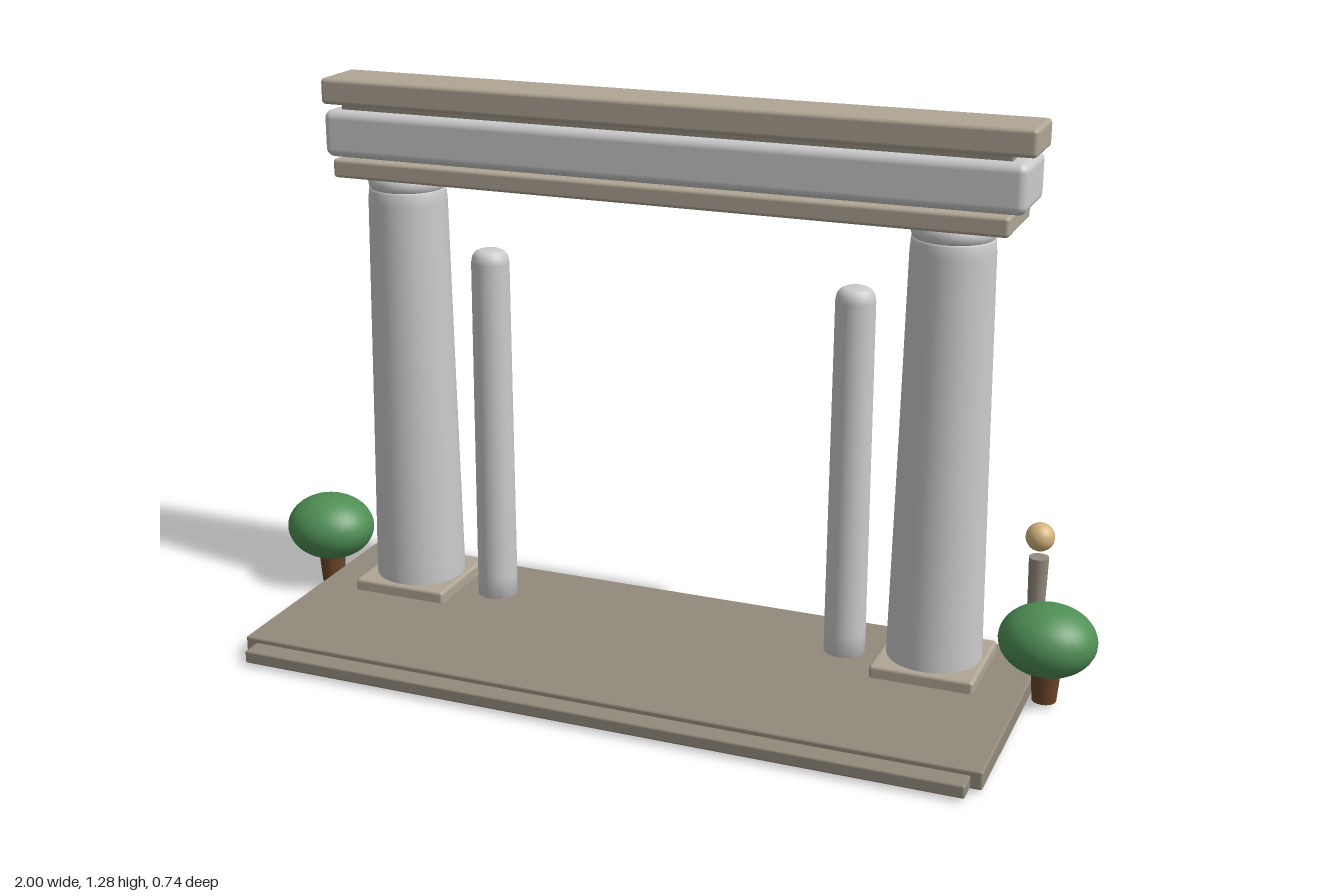
import * as THREE from 'three';
import { RoundedBoxGeometry } from 'three/addons/geometries/RoundedBoxGeometry.js';

const material = (color) => new THREE.MeshStandardMaterial({ color });
const paleStone = material(0xcccccc);
const tanStone = material(0xb0a695);
const darkStone = material(0x928a7c);
const leaf = material(0x4f8f55);
const bark = material(0x6b4528);
const glow = material(0xd2b47c);

const AXIS_Z = -0.126; // depth of the colonnade

export function createModel() {
  const model = new THREE.Group();

  function add(name, geometry, mat, x, y, z, parent = model) {
    const mesh = new THREE.Mesh(geometry, mat);
    mesh.name = name;
    mesh.position.set(x, y, z);
    parent.add(mesh);
    return mesh;
  }

  // Softened block given by its half width, height range and depth range
  function block(name, mat, halfX, y0, y1, z0, z1, bevel, x = 0, parent = model) {
    const geometry = new RoundedBoxGeometry(2 * halfX, y1 - y0, z1 - z0, 3, bevel);
    return add(name, geometry, mat, x, (y0 + y1) / 2, (z0 + z1) / 2, parent);
  }

  // Turned shape from [radius, height] pairs
  const turned = (points, sides = 40) =>
    new THREE.LatheGeometry(points.map(([r, y]) => new THREE.Vector2(r, y)), sides);

  // Floor with a front step
  block('platform', darkStone, 0.86, 0.008, 0.05, -0.287, 0.323, 0.005);
  block('frontStep', darkStone, 0.835, 0.008, 0.038, 0.2, 0.37, 0.005);

  // Stacked lintel
  block('lowerBeam', tanStone, 0.778, 1.06, 1.103, -0.229, -0.025, 0.008);
  block('frieze', paleStone, 0.807, 1.103, 1.211, -0.216, -0.037, 0.02);
  block('lintelFiller', darkStone, 0.77, 1.2, 1.23, -0.19, -0.062, 0.004);
  block('topBeam', tanStone, 0.82, 1.22, 1.28, -0.198, -0.055, 0.01);

  const shaft = turned([[0, 0], [0.08, 0], [0.1, 0.01], [0.106, 0.03], [0.106, 0.1],
    [0.098, 0.55], [0.091, 1.0], [0.089, 1.027], [0.084, 1.031]]);
  const neck = turned([[0.082, 1.028], [0.088, 1.034], [0.09, 1.045], [0.088, 1.056], [0.082, 1.064]]);
  const post = turned([[0, 0.02], [0.047, 0.02], [0.047, 0.1], [0.044, 0.87],
    [0.041, 0.886], [0.034, 0.895], [0.024, 0.9], [0, 0.9]], 32);
  const foliage = new THREE.SphereGeometry(1, 32, 20).scale(0.108, 0.08, 0.098);
  const trunk = new THREE.CylinderGeometry(0.034, 0.027, 0.085, 16);
  const lampPost = new THREE.CylinderGeometry(0.023, 0.017, 0.247, 16);
  const lampGlobe = new THREE.SphereGeometry(0.033, 24, 16);

  for (const side of [-1, 1]) {
    const label = side > 0 ? 'left' : 'right';

    // Main column on its square plinth
    const column = new THREE.Group();
    column.name = label + 'Column';
    model.add(column);
    add('shaft', shaft, paleStone, side * 0.642, 0, AXIS_Z, column);
    add('neck', neck, paleStone, side * 0.642, 0, AXIS_Z, column);
    block('plinth', tanStone, 0.117, 0.04, 0.078, AXIS_Z - 0.118, AXIS_Z + 0.118, 0.008, side * 0.642, column);

    // Free-standing slim column
    add(label + 'SlimColumn', post, paleStone, side * 0.435, 0, AXIS_Z);

    // Small round tree
    const tree = new THREE.Group();
    tree.name = label + 'Tree';
    model.add(tree);
    add('foliage', foliage, leaf, side * 0.892, 0.153, AXIS_Z, tree);
    add('trunk', trunk, bark, side * 0.892, 0.0515, AXIS_Z, tree);

    // Lamp behind the platform
    const lamp = new THREE.Group();
    lamp.name = label + 'Lamp';
    model.add(lamp);
    add('lampPost', lampPost, darkStone, side * 0.823, 0.1315, -0.337, lamp);
    add('lampGlobe', lampGlobe, glow, side * 0.823, 0.304, -0.337, lamp);
  }

  return model;
}
